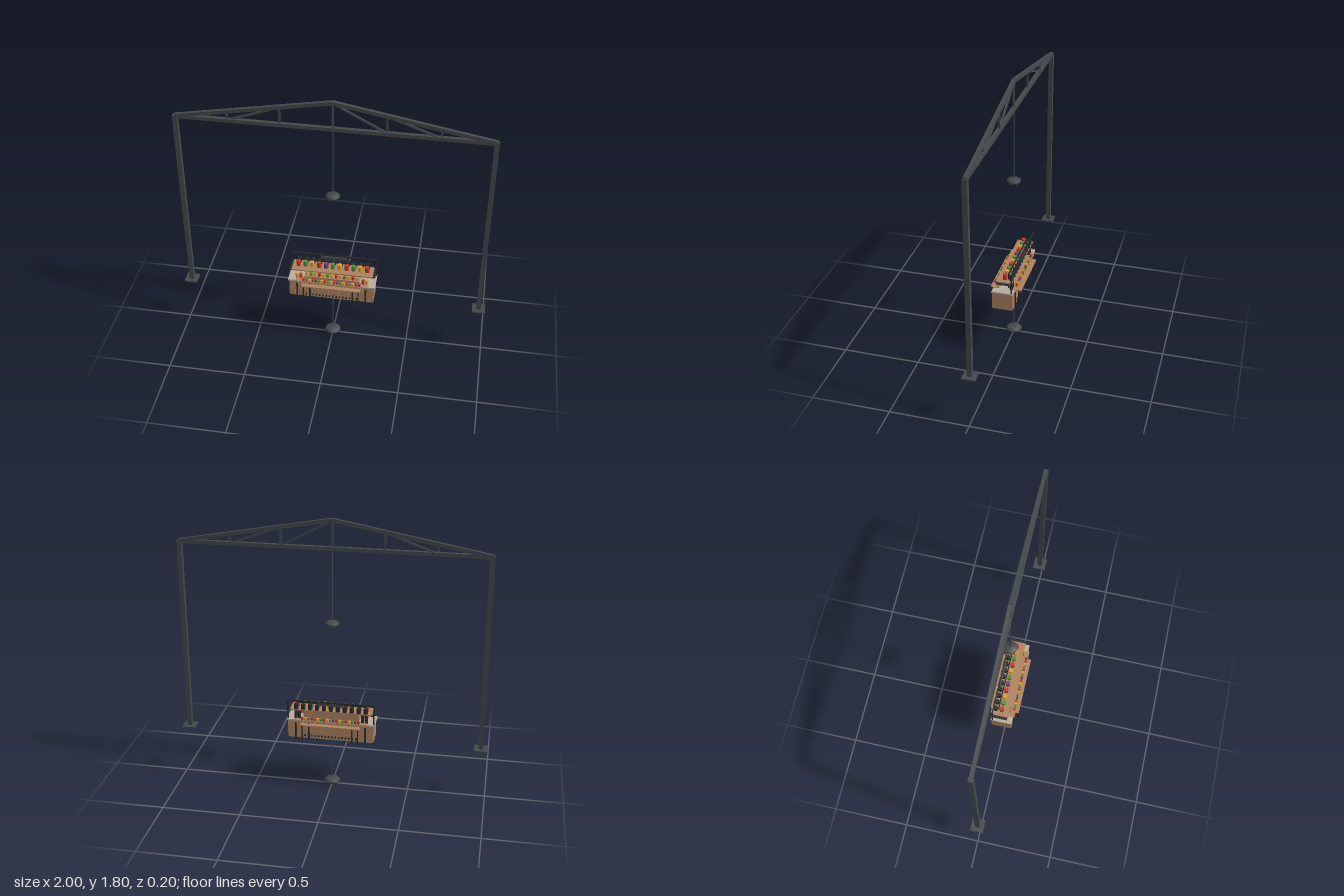
import * as THREE from 'three';

const mat = (name, color) => {
  const m = new THREE.MeshStandardMaterial({ color });
  m.name = name;
  return m;
};

export function createModel() {
  const steel = mat('dark steel', 0x44494b);
  const black = mat('black metal', 0x272b2d);
  const wood = mat('wood', 0xae835f);
  const stone = mat('pale stone', 0xb9ada0);
  const teal = mat('teal underside', 0x2e7467);
  const amber = mat('amber glow', 0xc4a474);
  const red = mat('red goods', 0xc0382c);
  const green = mat('green goods', 0x4f9038);
  const yellow = mat('yellow goods', 0xdda02e);
  const purple = mat('purple goods', 0x7a3f68);
  const goods = [red, green, yellow, red, purple, green, yellow];

  const root = new THREE.Group();
  const group = (name, parent = root) => {
    const g = new THREE.Group();
    g.name = name;
    parent.add(g);
    return g;
  };
  const add = (parent, name, geo, material, x, y, z) => {
    const m = new THREE.Mesh(geo, material);
    m.name = name;
    m.position.set(x, y, z);
    parent.add(m);
    return m;
  };
  // Box given by its extents
  const box = (parent, name, material, x0, x1, y0, y1, z0, z1) =>
    add(parent, name, new THREE.BoxGeometry(x1 - x0, y1 - y0, z1 - z0), material,
      (x0 + x1) / 2, (y0 + y1) / 2, (z0 + z1) / 2);
  // Square bar between two points in the truss plane
  const bar = (parent, name, [x0, y0], [x1, y1], t, depth) => {
    const g = new THREE.BoxGeometry(Math.hypot(x1 - x0, y1 - y0), t, depth);
    const m = add(parent, name, g, steel, (x0 + x1) / 2, (y0 + y1) / 2, 0);
    m.rotation.z = Math.atan2(y1 - y0, x1 - x0);
  };
  // Row of round goods cycling through the given materials
  const goodsRow = (parent, name, materials, n, half, y, z, r, h, shift = 0) => {
    const row = group(name, parent);
    for (let i = 0; i < n; i++) {
      const x = -half + (2 * half * i) / (n - 1);
      add(row, 'item', new THREE.CylinderGeometry(r, r, h, 10), materials[(i + shift) % materials.length], x, y + h / 2, z);
    }
  };

  // Gantry: posts, foot plates and roof truss
  const gantry = group('gantry');
  for (const s of [-1, 1]) {
    box(gantry, 'footPlate', steel, s * 0.958 - 0.042, s * 0.958 + 0.042, 0.337, 0.346, -0.042, 0.042);
    box(gantry, 'post', steel, s * 0.957 - 0.015, s * 0.957 + 0.015, 0.346, 1.615, -0.015, 0.015);
    bar(gantry, 'topChord', [s * 0.962, 1.612], [0, 1.787], 0.023, 0.022);
    bar(gantry, 'shortStrut', [s * 0.638, 1.61], [s * 0.638, 1.665], 0.012, 0.012);
    bar(gantry, 'longStrut', [s * 0.319, 1.61], [s * 0.319, 1.725], 0.012, 0.012);
    bar(gantry, 'diagonal', [s * 0.63, 1.612], [s * 0.319, 1.725], 0.011, 0.012);
  }
  bar(gantry, 'bottomChord', [-0.965, 1.61], [0.965, 1.61], 0.023, 0.024);
  bar(gantry, 'kingPost', [0, 1.61], [0, 1.787], 0.012, 0.012);
  bar(gantry, 'innerDiagonal', [0, 1.782], [0.319, 1.612], 0.011, 0.012);

  // Hanging lamps: shallow shade, rod and glowing bowl underneath
  const lathe = (parent, name, material, profile, s, y) =>
    add(parent, name, new THREE.LatheGeometry(profile.map(([r, h]) => new THREE.Vector2(r * s, h * s)), 24), material, 0, y, 0);
  const lamp = (y, s, rodTop) => {
    const g = group('lamp');
    lathe(g, 'shade', steel, [[0.037, 0.009], [0.044, 0.017], [0.045, 0.024], [0.036, 0.033], [0.016, 0.038], [0, 0.039]], s, y);
    lathe(g, 'diffuser', amber, [[0, 0], [0.022, 0.001], [0.031, 0.004], [0.037, 0.009]], s, y);
    const y0 = y + 0.037 * s;
    add(g, 'rod', new THREE.CylinderGeometry(0.0035, 0.0035, rodTop - y0, 8), steel, 0, (y0 + rodTop) / 2, 0);
  };
  lamp(1.108, 0.98, 1.78);
  lamp(0, 1.14, 0.355);

  // Counter body
  const counter = group('counter');
  box(counter, 'body', wood, -0.277, 0.277, 0.352, 0.47, -0.065, 0.065);
  box(counter, 'underside', teal, -0.27, 0.27, 0.347, 0.352, -0.06, 0.06);
  box(counter, 'underBlock', wood, -0.04, 0.04, 0.34, 0.347, -0.03, 0.03);
  box(counter, 'underPanel', teal, -0.028, 0.028, 0.338, 0.34, -0.02, 0.02);
  box(counter, 'worktop', stone, -0.285, 0.285, 0.47, 0.48, -0.07, 0.07);
  for (const x of [-0.272, -0.09, 0.09, 0.272])
    for (const z of [-0.052, 0.052]) box(counter, 'foot', black, x - 0.006, x + 0.006, 0.337, 0.352, z - 0.006, z + 0.006);
  // Raised planks on the front
  for (let i = 0; i < 25; i++) {
    const x = -0.264 + i * 0.022;
    box(counter, 'plank', wood, x - 0.006, x + 0.006, 0.354, 0.468, 0.065, 0.07);
  }

  // Side trays with legs, pegs and produce, front and back
  for (const s of [-1, 1]) {
    const side = group(s > 0 ? 'frontTray' : 'backTray', counter);
    const slab = (name, m, x0, x1, y0, y1, a, b) =>
      box(side, name, m, x0, x1, y0, y1, Math.min(s * a, s * b), Math.max(s * a, s * b));
    slab('trayBoard', wood, -0.193, 0.193, 0.45, 0.458, 0.065, 0.1);
    slab('sideLedge', wood, -0.235, 0.235, 0.48, 0.483, 0.03, 0.08);
    for (const x of [-0.225, -0.14, 0.14, 0.225]) slab('innerLeg', black, x - 0.005, x + 0.005, 0.34, 0.458, 0.066, 0.075);
    for (const x of [-0.18, 0.18]) slab('outerLeg', black, x - 0.004, x + 0.004, 0.34, 0.45, 0.089, 0.097);
    for (let i = 0; i < 16; i++) {
      const x = -0.165 + i * 0.022;
      slab('peg', black, x - 0.005, x + 0.005, 0.367, 0.377, 0.065, 0.074);
    }
    goodsRow(side, 'produce', goods, 19, 0.182, 0.483, s * 0.069, 0.0085, 0.016, s > 0 ? 0 : 3);
  }

  // Stepped display on the worktop
  const display = group('display', counter);
  box(display, 'step', wood, -0.18, 0.18, 0.48, 0.503, -0.035, 0.05);
  box(display, 'stepBack', wood, -0.18, 0.18, 0.503, 0.54, -0.035, -0.025);
  goodsRow(display, 'stepGoods', [yellow, green, yellow, red], 13, 0.165, 0.503, 0.033, 0.009, 0.024);
  for (const s of [-1, 1])
    for (let i = 0; i < 2; i++) {
      const x = s * (0.205 + i * 0.024);
      add(display, 'endJar', new THREE.CylinderGeometry(0.01, 0.01, 0.03, 10), i ? yellow : red, x, 0.498, 0.038);
      add(display, 'canister', new THREE.CylinderGeometry(0.01, 0.01, 0.05, 10), black, x, 0.506, -0.046);
    }

  // Upper shelf with jars in front and dark tins behind
  const shelf = group('upperShelf', counter);
  box(shelf, 'board', wood, -0.265, 0.265, 0.54, 0.548, -0.058, 0.045);
  goodsRow(shelf, 'shelfJars', goods, 11, 0.225, 0.548, -0.006, 0.0145, 0.037);
  goodsRow(shelf, 'tins', [black], 11, 0.225, 0.548, -0.046, 0.014, 0.034);
  for (const s of [-1, 1]) {
    box(shelf, 'tallPost', black, s * 0.278 - 0.004, s * 0.278 + 0.004, 0.48, 0.612, -0.062, -0.054);
    box(shelf, 'shortPost', black, s * 0.22 - 0.004, s * 0.22 + 0.004, 0.483, 0.588, -0.03, -0.022);
    box(shelf, 'bracket', black, s * 0.27 - 0.012, s * 0.27 + 0.012, 0.536, 0.54, -0.062, 0.04);
  }
  box(shelf, 'topRail', black, -0.282, 0.282, 0.605, 0.613, -0.062, -0.054);
  box(shelf, 'innerRail', black, -0.224, 0.224, 0.581, 0.588, -0.03, -0.022);
  box(shelf, 'blankBoard', steel, -0.085, 0.085, 0.586, 0.605, -0.06, -0.045);

  return root;
}
